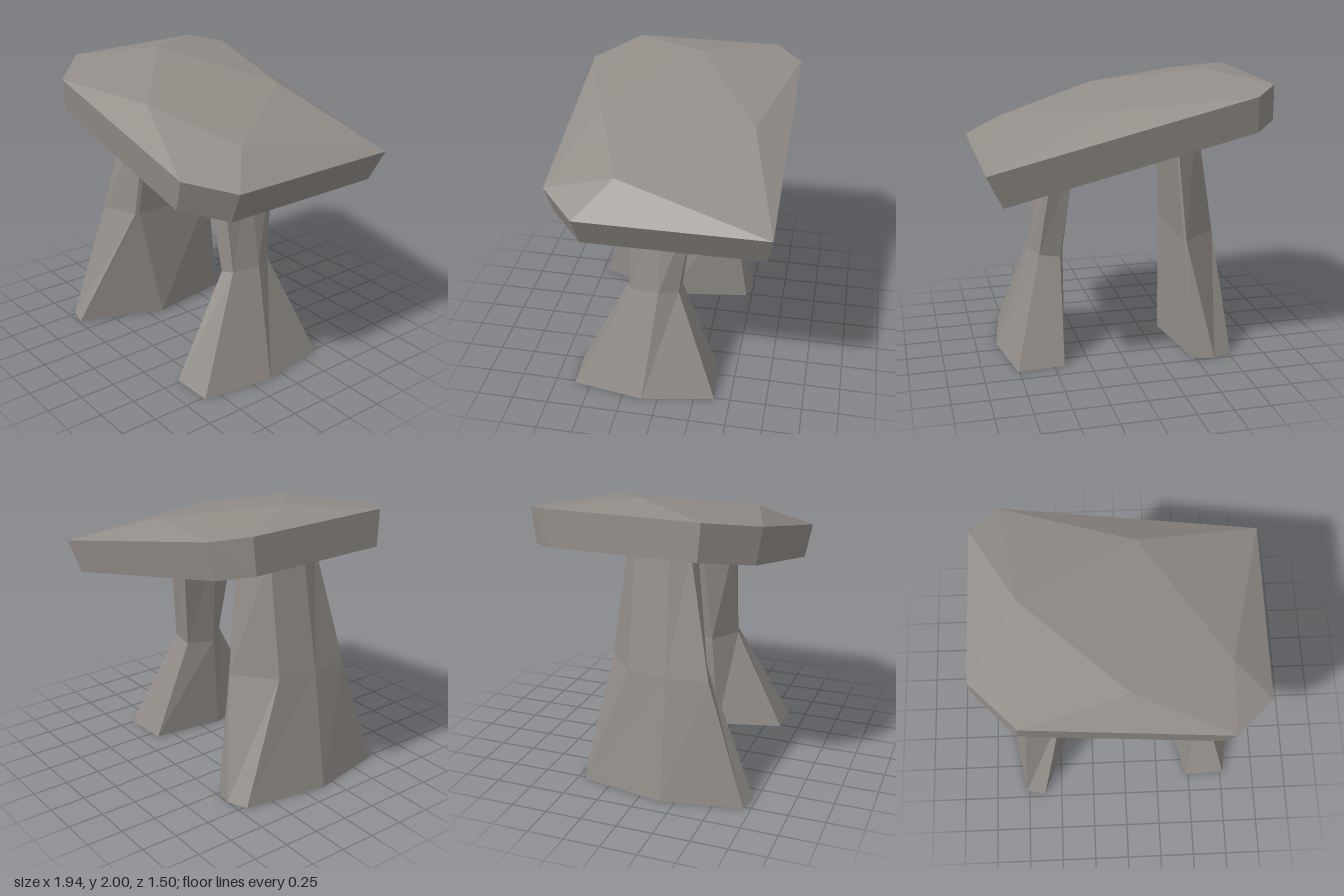
import * as THREE from 'three';
import { ConvexGeometry } from 'three/addons/geometries/ConvexGeometry.js';

const stone = new THREE.MeshStandardMaterial({ color: 0x938d88, roughness: 1, flatShading: true });

// Lofts a closed faceted solid through rings of [x, y, z], ordered clockwise from above
function loft(rings) {
  const n = rings[0].length;
  const index = [];
  for (let r = 0; r < rings.length - 1; r++) {
    for (let i = 0; i < n; i++) {
      const a = r * n + i, b = r * n + (i + 1) % n;
      index.push(b, a, a + n, b, a + n, b + n);
    }
  }
  const top = (rings.length - 1) * n;
  for (let i = 1; i < n - 1; i++) {
    index.push(0, i, i + 1, top, top + i + 1, top + i);
  }
  const geometry = new THREE.BufferGeometry();
  geometry.setAttribute('position', new THREE.Float32BufferAttribute(rings.flat(2), 3));
  geometry.setIndex(index);
  const flat = geometry.toNonIndexed();
  flat.computeVertexNormals();
  return flat;
}

// Places a plan outline of [x, z] at a height that may slope along x
const ring = (outline, height) => outline.map(([x, z]) => [x, height(x), z]);
const level = (y) => () => y;

function addPart(group, name, geometry) {
  const mesh = new THREE.Mesh(geometry, stone);
  mesh.name = name;
  group.add(mesh);
}

export function createModel() {
  const group = new THREE.Group();
  group.name = 'stoneDolmen';

  // Tilted capstone: chamfered rim, tapered underside and four raised top corners
  const rim = [[-0.96, -0.56], [-0.78, -0.75], [0.97, -0.75], [0.97, 0.5],
    [0.71, 0.75], [-0.66, 0.75], [-0.96, 0.46]];
  const underside = [[-0.97, -0.54], [-0.8, -0.71], [0.865, -0.71], [0.865, 0.48],
    [0.62, 0.72], [-0.69, 0.72], [-0.97, 0.44]];
  const crown = [[-0.65, 2.0, -0.05], [0.12, 1.82, -0.53], [0.71, 1.68, 0.28], [0.04, 1.84, 0.53]];
  const slabPoints = [
    ...ring(rim, (x) => 1.73 - 0.237 * x),
    ...ring(underside, (x) => 1.485 - 0.237 * x),
    ...crown,
  ].map((p) => new THREE.Vector3(...p));
  addPart(group, 'capstone', new ConvexGeometry(slabPoints));

  // Tall broad support on the right
  addPart(group, 'rightSupport', loft([
    ring([[-0.63, 0.73], [-0.77, 0.7], [-0.875, 0.15], [-0.77, -0.44],
      [-0.63, -0.5], [-0.48, -0.46], [-0.39, 0.14]], level(0)),
    ring([[-0.445, 0.33], [-0.71, 0.43], [-0.75, 0.15], [-0.71, -0.13],
      [-0.45, -0.35], [-0.435, -0.34], [-0.435, 0.3]], level(0.84)),
    ring([[-0.39, 0.24], [-0.58, 0.26], [-0.615, 0.13], [-0.58, -0.12],
      [-0.395, -0.24], [-0.385, -0.23], [-0.385, 0.22]], level(1.66)),
  ]));

  // Shorter waisted support on the left
  addPart(group, 'leftSupport', loft([
    ring([[0.77, 0.61], [0.48, 0.62], [0.36, 0.15], [0.43, -0.37],
      [0.76, -0.39], [0.85, 0.11]], level(0)),
    ring([[0.58, 0.23], [0.495, 0.26], [0.345, 0.1], [0.4, -0.1],
      [0.55, -0.1], [0.61, 0.03]], (x) => 0.64 + 0.18 * x),
    ring([[0.47, 0.25], [0.32, 0.265], [0.25, 0.05], [0.3, -0.19],
      [0.45, -0.2], [0.48, 0.03]], level(1.45)),
  ]));

  return group;
}
